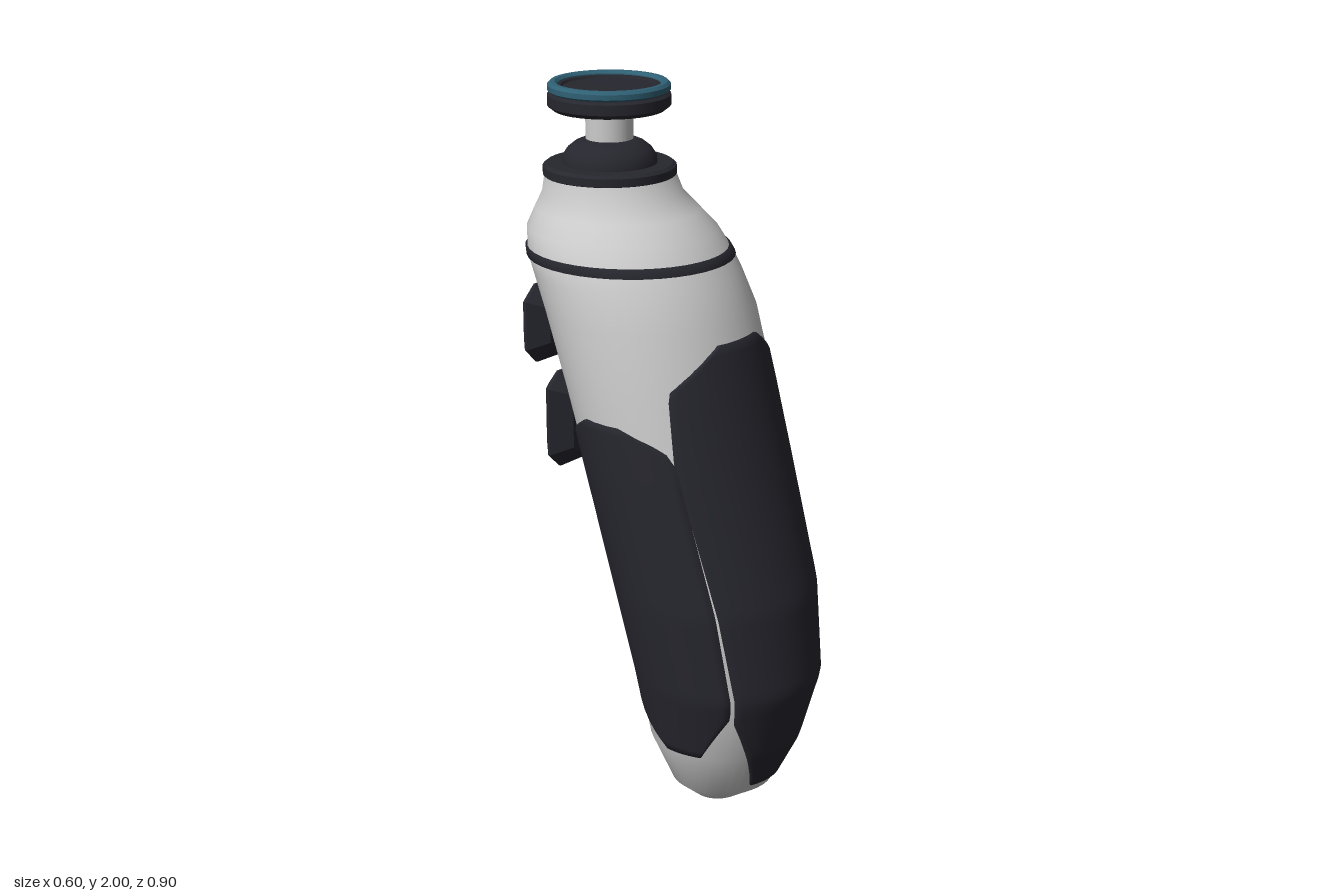
import * as THREE from 'three';
import { mergeVertices } from 'three/addons/utils/BufferGeometryUtils.js';

const grey = new THREE.MeshStandardMaterial({ color: 0xcccccc });
const dark = new THREE.MeshStandardMaterial({ color: 0x26262e, side: THREE.DoubleSide });
const blue = new THREE.MeshStandardMaterial({ color: 0x2f6074 });

// Body sections: height, half width, front z, back z
const SECTIONS = [
  [0, 0.07, 0.225, 0.09], [0.06, 0.145, 0.315, 0.03], [0.2, 0.21, 0.385, -0.03],
  [0.4, 0.255, 0.442, -0.065], [0.65, 0.28, 0.415, -0.13], [1.0, 0.292, 0.315, -0.23],
  [1.2, 0.294, 0.26, -0.295], [1.4, 0.292, 0.205, -0.37], [1.5, 0.283, 0.155, -0.415],
  [1.55, 0.274, 0.125, -0.44], [1.61, 0.25, 0.085, -0.45], [1.66, 0.215, 0.03, -0.43],
  [1.7, 0.19, -0.02, -0.41], [1.76, 0.178, -0.05, -0.4],
];
const TOP_Z = -0.225;

// Linear interpolation in a table whose first column is the height
function sample(table, y) {
  let i = 0;
  while (i < table.length - 2 && y > table[i + 1][0]) i++;
  const t = (y - table[i][0]) / (table[i + 1][0] - table[i][0]);
  return table[i].map((v, k) => v + (table[i + 1][k] - v) * t);
}

// Point on the body skin; the angle runs from the front (+z) towards +x
function skin(y, angle, offset) {
  const [, w, front, back] = sample(SECTIONS, y);
  return [
    (w + offset) * Math.sin(angle), y,
    (front + back) / 2 + ((front - back) / 2 + offset) * Math.cos(angle),
  ];
}

// Surface through a grid of points, rows rising and columns turning with the angle
function gridSurface(rows) {
  const n = rows[0].length, index = [];
  for (let r = 0; r < rows.length - 1; r++) {
    for (let c = 0; c < n - 1; c++) {
      const a = r * n + c, b = a + n;
      index.push(a, a + 1, b + 1, a, b + 1, b);
    }
  }
  let geo = new THREE.BufferGeometry();
  geo.setAttribute('position', new THREE.Float32BufferAttribute(rows.flat(2), 3));
  geo.setIndex(index);
  geo = mergeVertices(geo, 1e-5);
  geo.computeVertexNormals();
  return geo;
}

// Full turn around the body at the given [height, offset] pairs
function band(levels) {
  const N = 40;
  return gridSurface(levels.map(([y, off]) =>
    Array.from({ length: N + 1 }, (_, i) => skin(y, ((i % N) / N) * Math.PI * 2, off))));
}

// Raised pad lying on the skin, outline rows are [height, start degrees, end degrees]
function pad(outline) {
  const ROWS = 48, COLS = 20, rows = [];
  const y0 = outline[0][0], y1 = outline[outline.length - 1][0];
  for (let r = -1; r <= ROWS + 1; r++) {
    const y = y0 + (y1 - y0) * Math.min(Math.max(r / ROWS, 0), 1);
    const [, a, b] = sample(outline, y);
    const row = [];
    for (let c = -1; c <= COLS + 1; c++) {
      const t = Math.min(Math.max(c / COLS, 0), 1);
      const rim = r < 0 || r > ROWS || c < 0 || c > COLS;
      row.push(skin(y, THREE.MathUtils.degToRad(a + (b - a) * t), rim ? -0.008 : 0.008));
    }
    rows.push(row);
  }
  return gridSurface(rows);
}

// Rectangle with cut corners, bevelled on both faces, centred at the origin
function bevelledPlate(w, h, cut, depth, bevel, bevelDepth) {
  const x = w / 2 - bevel, y = h / 2 - bevel;
  const pts = [[x - cut, -y], [x, -y + cut], [x, y - cut], [x - cut, y],
    [-x + cut, y], [-x, y - cut], [-x, -y + cut], [-x + cut, -y]];
  const shape = new THREE.Shape(pts.map(p => new THREE.Vector2(...p)));
  const core = depth - 2 * bevelDepth;
  const geo = new THREE.ExtrudeGeometry(shape, {
    depth: core, bevelSize: bevel, bevelThickness: bevelDepth, bevelSegments: 1,
  });
  return geo.translate(0, 0, -core / 2);
}

export function createModel() {
  const model = new THREE.Group();
  model.name = 'handheldController';
  const add = (name, geo, mat, x = 0, y = 0, z = 0, parent = model) => {
    const mesh = new THREE.Mesh(geo, mat);
    mesh.name = name;
    mesh.position.set(x, y, z);
    parent.add(mesh);
    return mesh;
  };
  const turned = (name, profile, mat) => profile.slice(1).forEach((p, i) => {
    // Each profile step is its own crisp lathe band
    const pts = [profile[i], p].map(q => new THREE.Vector2(...q));
    add(name, new THREE.LatheGeometry(pts, 40), mat, 0, 0, TOP_Z);
  });

  // Handle body and its flat foot
  add('body', band(SECTIONS.map(s => [s[0], 0])), grey);
  const foot = add('foot', new THREE.CircleGeometry(1, 40), grey, 0, 0, 0.1575);
  foot.rotation.x = Math.PI / 2;
  foot.scale.set(0.07, 0.0675, 1);

  // Thin seam around the shoulder
  add('seam', band([[1.538, -0.004], [1.54, 0.005], [1.562, 0.005], [1.564, -0.004]]), dark);

  // Grip pads: one at the front, one on each side
  add('frontGrip', pad([[0.09, -24, 24], [0.33, -48, 48], [1.07, -54, 54],
    [1.25, -49, 49], [1.33, -25, 25], [1.36, -16, 16]]), dark);
  const side = [[0.21, 70, 99], [0.35, 51, 149], [0.97, 53, 138],
    [1.05, 53, 133], [1.1, 58, 126], [1.15, 82, 106]];
  add('leftGrip', pad(side), dark);
  add('rightGrip', pad(side.map(([y, a, b]) => [y, -b, -a])), dark);

  // Back buttons: dark bezel with a pale key
  const buttons = [
    { name: 'upperButton', y: 1.322, z: -0.393, w: 0.34, h: 0.225, kw: 0.24, kh: 0.125 },
    { name: 'lowerButton', y: 1.06, z: -0.31, w: 0.35, h: 0.28, kw: 0.25, kh: 0.17 },
  ];
  for (const b of buttons) {
    const group = new THREE.Group();
    group.name = b.name;
    group.position.set(0, b.y, b.z);
    model.add(group);
    add('bezel', bevelledPlate(b.w, b.h, 0.015, 0.1, 0.048, 0.046), dark, 0, 0, 0, group);
    add('key', bevelledPlate(b.kw, b.kh, 0.005, 0.05, 0.012, 0.012), grey, 0, 0, -0.035, group);
  }

  // Collar and dome under the stick
  turned('collar', [[0, 1.742], [0.172, 1.742], [0.182, 1.75], [0.182, 1.772],
    [0.172, 1.78], [0.128, 1.78]], dark);
  const dome = [[0.13, 1.778], [0.128, 1.798], [0.115, 1.818], [0.095, 1.834], [0.07, 1.845], [0, 1.845]];
  add('dome', new THREE.LatheGeometry(dome.map(p => new THREE.Vector2(...p)), 40), dark, 0, 0, TOP_Z);

  // Stick post and thumb cap with a coloured rim
  add('stickPost', new THREE.CylinderGeometry(0.065, 0.065, 0.1, 32), grey, 0, 1.885, TOP_Z);
  turned('thumbCap', [[0, 1.925], [0.152, 1.925], [0.167, 1.937], [0.167, 1.965],
    [0.158, 1.972], [0.158, 1.978]], dark);
  turned('capRim', [[0.158, 1.973], [0.166, 1.978], [0.166, 1.992], [0.158, 2],
    [0.146, 2], [0.139, 1.993], [0.139, 1.98]], blue);
  turned('thumbDish', [[0.141, 1.99], [0.13, 1.99], [0.126, 1.984], [0, 1.98]], dark);

  return model;
}
